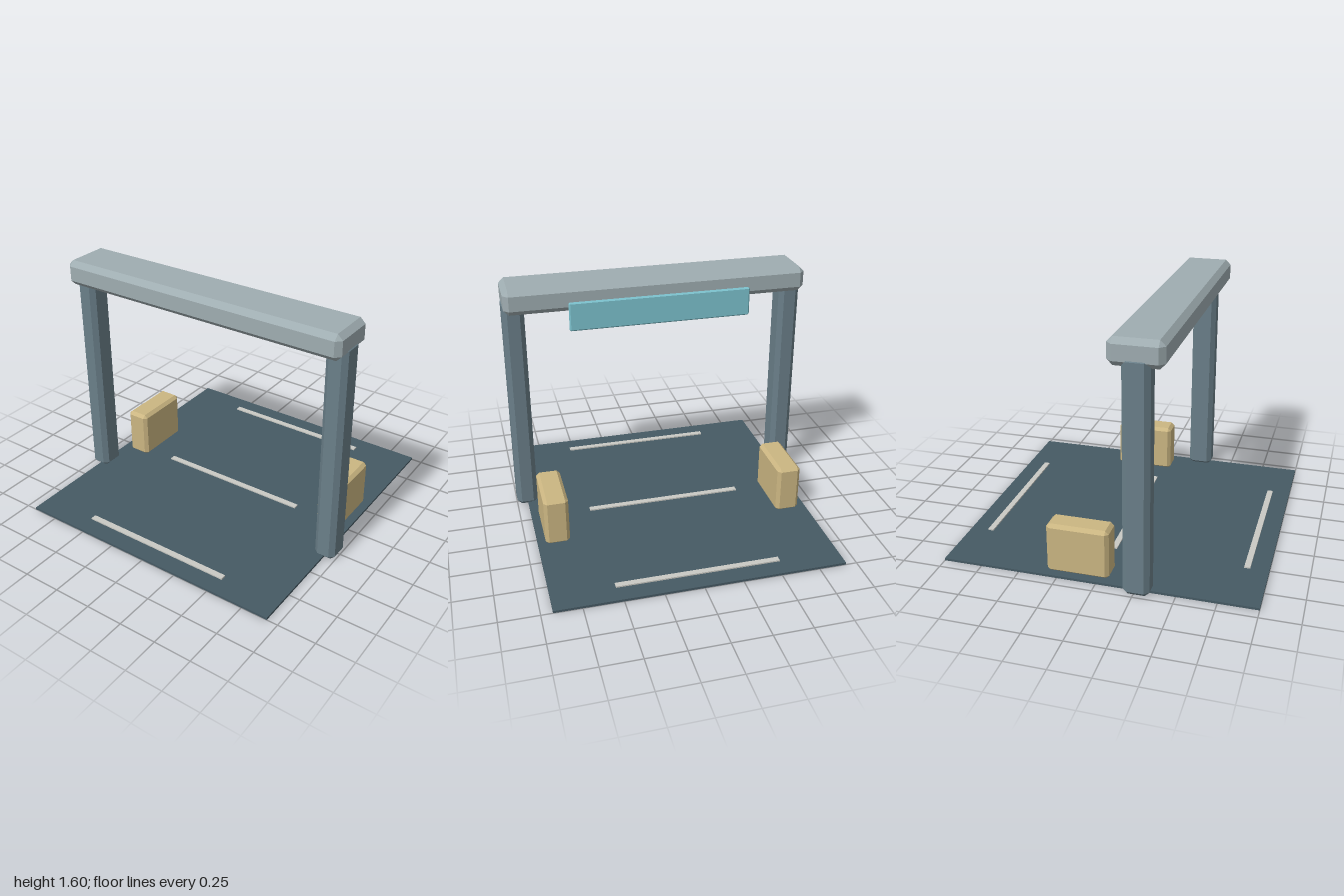
import * as THREE from 'three';
import { ConvexGeometry } from 'three/addons/geometries/ConvexGeometry.js';

function paint(name, hex) {
  const m = new THREE.MeshStandardMaterial({ color: hex });
  m.name = name;
  return m;
}

// Box with every edge cut at 45 degrees and triangular corners
function chamferBox(w, h, d, c) {
  const points = [];
  for (const x of [-1, 1]) for (const y of [-1, 1]) for (const z of [-1, 1]) {
    const [a, b, e] = [w / 2, h / 2, d / 2];
    points.push(
      new THREE.Vector3(x * a, y * (b - c), z * (e - c)),
      new THREE.Vector3(x * (a - c), y * b, z * (e - c)),
      new THREE.Vector3(x * (a - c), y * (b - c), z * e),
    );
  }
  return new ConvexGeometry(points);
}

export function createModel() {
  const group = new THREE.Group();
  group.name = 'gantry';
  const floorPaint = paint('dark slate', 0x465a64);
  const postPaint = paint('slate', 0x6a7f89);
  const beamPaint = paint('light grey', 0x9fadb1);
  const signPaint = paint('pale cyan', 0x7cc2ce);
  const boxPaint = paint('sand', 0xcbb682);
  const linePaint = paint('off white', 0xcacac4);

  const add = (name, geometry, material, x, y, z) => {
    const mesh = new THREE.Mesh(geometry, material);
    mesh.name = name;
    mesh.position.set(x, y, z);
    group.add(mesh);
  };

  // Ground slab with three painted lines
  add('floor', new THREE.BoxGeometry(1.855, 0.015, 2), floorPaint, 0, 0.0075, 0);
  for (const z of [-0.863, 0, 0.863]) {
    add('floorLine', new THREE.BoxGeometry(1.055, 0.009, 0.038), linePaint, 0, 0.0195, z);
  }

  // Posts and low cabinets on both sides
  const post = chamferBox(0.14, 1.498, 0.166, 0.03);
  const cabinet = chamferBox(0.16, 0.332, 0.4, 0.022);
  for (const [side, s] of [['left', 1], ['right', -1]]) {
    add(side + 'Post', post, postPaint, s * 0.93, 0.751, 0.27);
    add(side + 'Cabinet', cabinet, boxPaint, s * 0.795, 0.168, -0.133);
  }

  // Overhead beam and the sign panel hanging behind it
  add('beam', chamferBox(1.99, 0.165, 0.332, 0.034), beamPaint, 0, 1.516, 0.267);
  add('signPanel', chamferBox(1.19, 0.19, 0.023, 0.009), signPaint, 0, 1.415, 0.066);

  return group;
}
